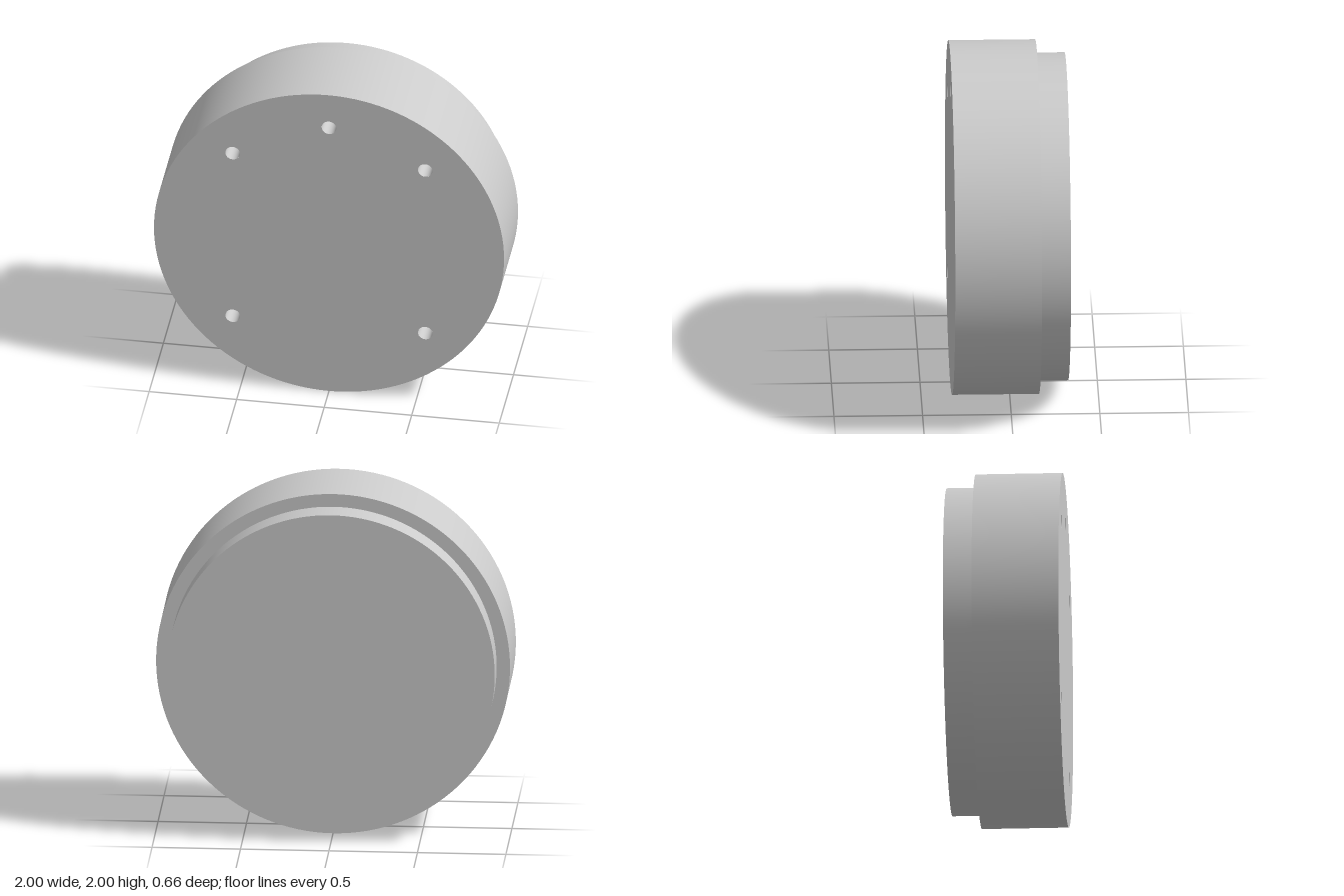
import * as THREE from 'three';

const R = 1, BOSS_R = 0.925, FRONT = 0.33, STEP = -0.16, BACK = -0.325;
const HOLE_R = 0.042, HOLE_DEPTH = 0.25, SEG = 128;

export function createModel() {
  const group = new THREE.Group();
  const solid = new THREE.MeshStandardMaterial({ color: 0xcccccc });
  const open = new THREE.MeshStandardMaterial({ color: 0xcccccc, side: THREE.DoubleSide });

  const add = (name, geometry, material, x, y, z) => {
    const mesh = new THREE.Mesh(geometry, material);
    mesh.name = name;
    mesh.position.set(x, y, z);
    group.add(mesh);
  };
  // Open cylinder wall running along z
  const wall = (r, depth, seg) =>
    new THREE.CylinderGeometry(r, r, depth, seg, 1, true).rotateX(Math.PI / 2);

  // Bolt hole centres, relative to the disc centre
  const d = 0.55;
  const holes = [[0, 0.78], [-d, d], [d, d], [-d, -d], [d, -d]];

  // Front face pierced by the holes
  const face = new THREE.Shape().absarc(0, 0, R, 0, Math.PI * 2, false);
  for (const [x, y] of holes)
    face.holes.push(new THREE.Path().absarc(x, y, HOLE_R, 0, Math.PI * 2, true));
  add('frontFace', new THREE.ShapeGeometry(face, SEG / 2), solid, 0, R, FRONT);

  // Main drum wall and the shoulder behind it
  add('drumWall', wall(R, FRONT - STEP, SEG), solid, 0, R, (FRONT + STEP) / 2);
  add('shoulder', new THREE.RingGeometry(BOSS_R, R, SEG).rotateY(Math.PI), solid, 0, R, STEP);

  // Smaller stepped boss at the back
  add('bossWall', wall(BOSS_R, STEP - BACK, SEG), solid, 0, R, (STEP + BACK) / 2);
  add('backFace', new THREE.CircleGeometry(BOSS_R, SEG).rotateY(Math.PI), solid, 0, R, BACK);

  // Blind holes: wall and floor
  for (const [x, y] of holes) {
    add('holeWall', wall(HOLE_R, HOLE_DEPTH, 32), open, x, R + y, FRONT - HOLE_DEPTH / 2);
    add('holeFloor', new THREE.CircleGeometry(HOLE_R, 32), solid, x, R + y, FRONT - HOLE_DEPTH);
  }
  return group;
}
